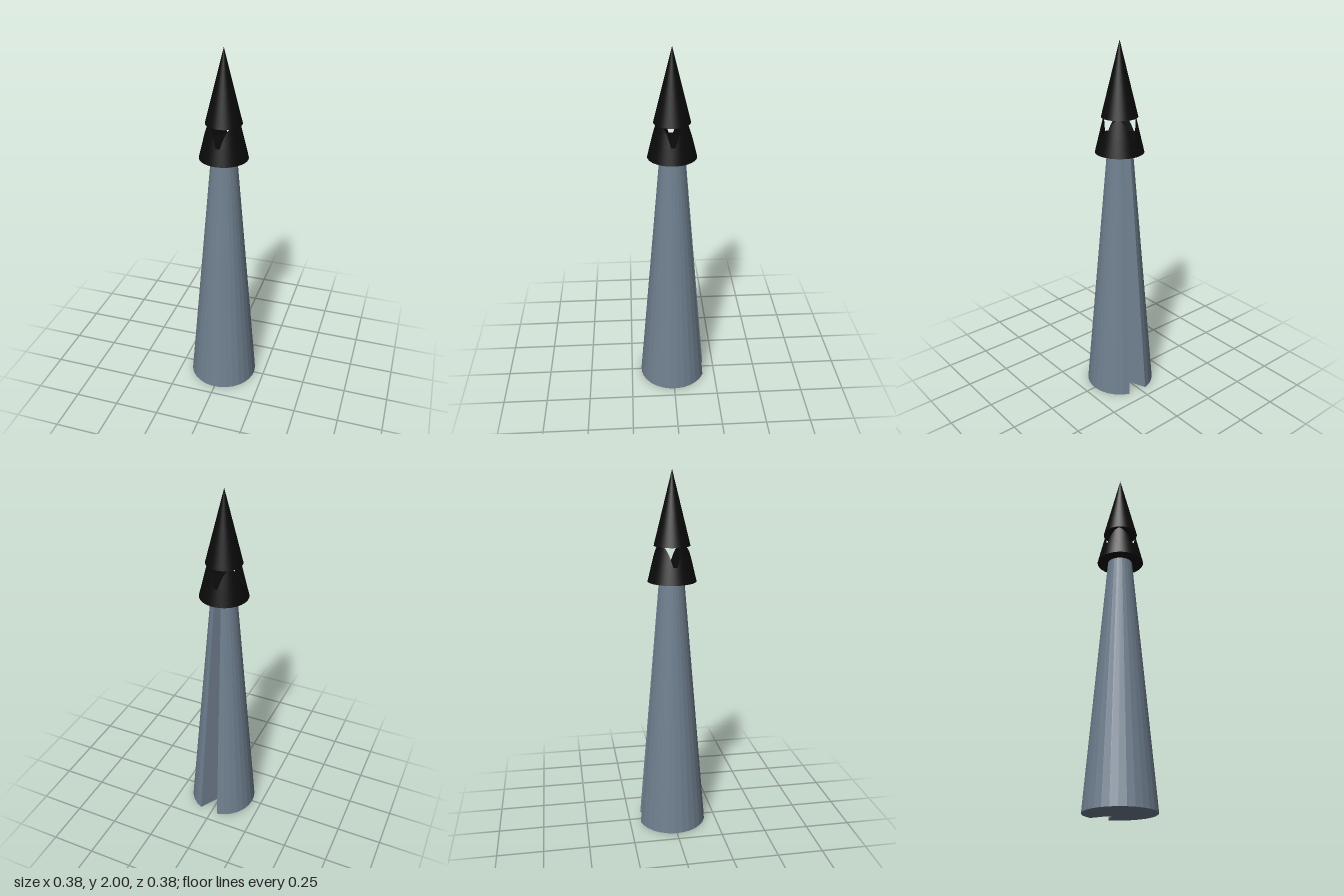
import * as THREE from 'three';

const slate = new THREE.MeshStandardMaterial({ color: 0x708090, flatShading: true });
const black = new THREE.MeshStandardMaterial({ color: 0x0a0a0a });

function named(name, geometry, material) {
  const mesh = new THREE.Mesh(geometry, material);
  mesh.name = name;
  return mesh;
}

// Collar dimensions: a tapering ring whose top is cut by a square well turned 45 degrees
const BASE_Y = 1.42, FLOOR_Y = 1.51, BASE_R = 0.131, SLOPE = 0.242, WELL = 0.085;
const collarRadius = (y) => BASE_R - SLOPE * (y - BASE_Y);

// Tapered shaft: a near-circular outline with a wedge cut from its back, scaled toward the top
function shaftGeometry() {
  const radius = 0.193, height = BASE_Y, taper = 0.36, steps = 26;
  const start = THREE.MathUtils.degToRad(-168.5), end = THREE.MathUtils.degToRad(157.7);
  const outline = [];
  for (let i = 0; i <= steps; i++) {
    const a = start + (end - start) * i / steps;
    outline.push(new THREE.Vector2(radius * Math.sin(a), radius * Math.cos(a)));
  }
  outline.push(new THREE.Vector2(0.008, -0.07)); // inner corner of the wedge
  const g = new THREE.ExtrudeGeometry(new THREE.Shape(outline), { depth: height, bevelEnabled: false });
  const p = g.attributes.position;
  // Stand the extrusion up, keep the outline's second axis on z, and taper it
  for (let i = 0; i < p.count; i++) {
    const t = p.getZ(i) / height;
    const s = 1 + (taper - 1) * t;
    p.setXYZ(i, p.getX(i) * s, t * height, p.getY(i) * s);
  }
  // Swapping axes mirrors the solid, so turn every triangle round
  const a = new THREE.Vector3(), b = new THREE.Vector3();
  for (let i = 0; i < p.count; i += 3) {
    a.fromBufferAttribute(p, i + 1);
    b.fromBufferAttribute(p, i + 2);
    p.setXYZ(i + 1, b.x, b.y, b.z);
    p.setXYZ(i + 2, a.x, a.y, a.z);
  }
  g.computeVertexNormals();
  return g;
}

// One collar tooth: conical outside, flat inside, meeting along a curved crest
function toothGeometry() {
  const steps = 24, half = Math.acos(WELL / collarRadius(FLOOR_Y));
  const positions = [];
  const column = (i) => {
    const t = -half + 2 * half * i / steps;
    const r = collarRadius(FLOOR_Y);
    const crestR = WELL / Math.cos(t);
    const crestY = Math.max(FLOOR_Y, BASE_Y + (BASE_R - crestR) / SLOPE);
    return {
      outer: [r * Math.sin(t), FLOOR_Y, r * Math.cos(t)],
      crest: [crestR * Math.sin(t), crestY, WELL],
      inner: [crestR * Math.sin(t), FLOOR_Y, WELL],
    };
  };
  const quad = (a, b, c, d) => positions.push(...a, ...b, ...c, ...a, ...c, ...d);
  for (let i = 0; i < steps; i++) {
    const l = column(i), r = column(i + 1);
    quad(l.outer, r.outer, r.crest, l.crest);
    quad(r.inner, l.inner, l.crest, r.crest);
  }
  const g = new THREE.BufferGeometry();
  g.setAttribute('position', new THREE.Float32BufferAttribute(positions, 3));
  g.computeVertexNormals();
  return g;
}

export function createModel() {
  const model = new THREE.Group();
  model.name = 'spireTower';

  model.add(named('shaft', shaftGeometry(), slate));

  // Dark head: toothed collar with a pointed cap resting on the teeth
  const head = new THREE.Group();
  head.name = 'head';
  head.position.z = 0.003;
  model.add(head);

  const band = named('collarBand',
    new THREE.CylinderGeometry(collarRadius(FLOOR_Y), BASE_R, FLOOR_Y - BASE_Y, 64), black);
  band.position.y = (BASE_Y + FLOOR_Y) / 2;
  head.add(band);

  const tooth = toothGeometry();
  for (let i = 0; i < 4; i++) {
    const mesh = named('collarTooth', tooth, black);
    mesh.rotation.y = Math.PI / 4 + i * Math.PI / 2;
    head.add(mesh);
  }

  const cap = named('pointedCap', new THREE.ConeGeometry(0.097, 0.39, 64), black);
  cap.position.y = 1.805;
  head.add(cap);

  return model;
}
